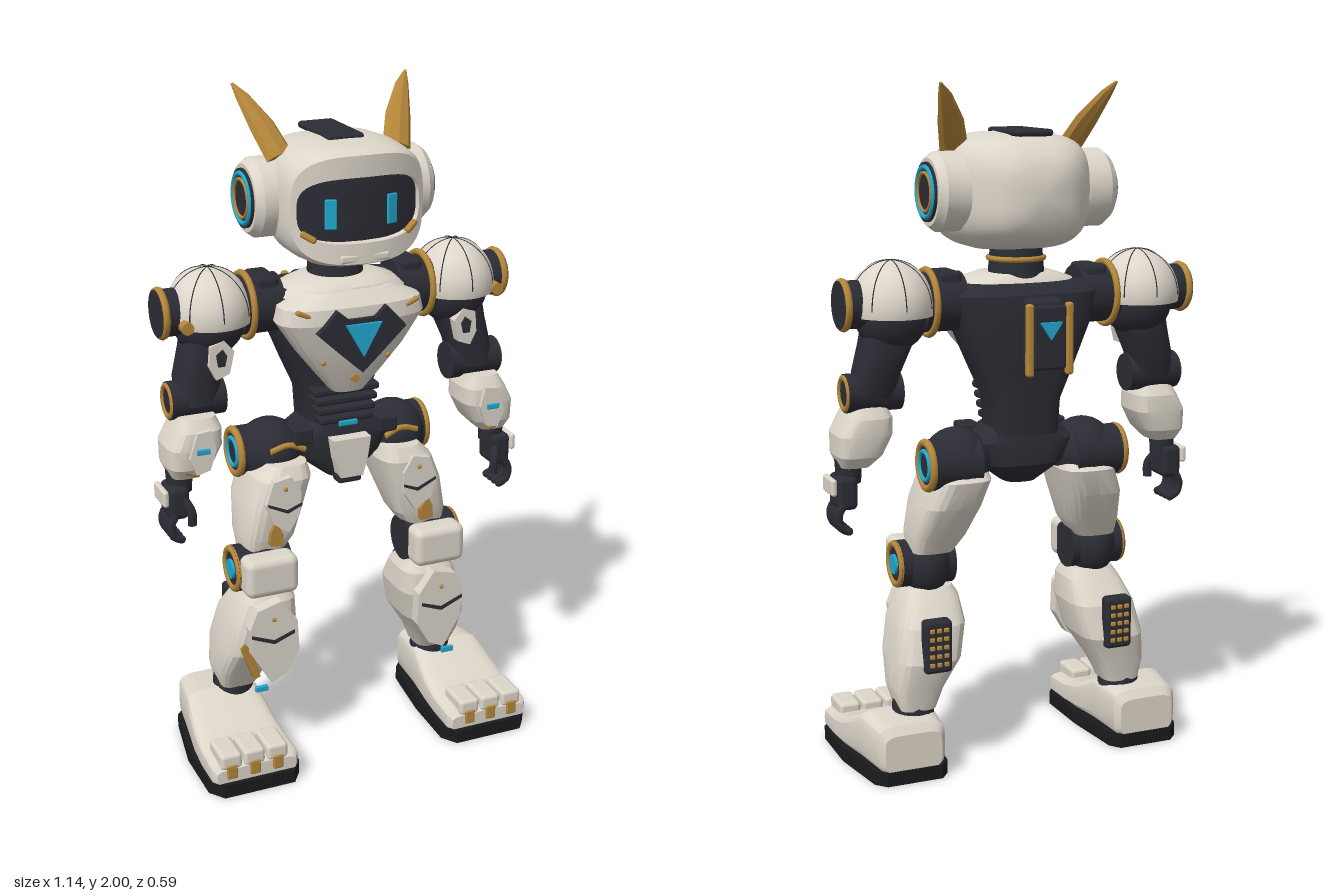
import * as THREE from 'three';
import { toCreasedNormals } from 'three/addons/utils/BufferGeometryUtils.js';
import { RoundedBoxGeometry } from 'three/addons/geometries/RoundedBoxGeometry.js';

const material = (name, color) => {
  const m = new THREE.MeshStandardMaterial({ color, side: THREE.DoubleSide });
  m.name = name;
  return m;
};

// Closed skin through superellipse rings [height, cx, cz, hx, hz]; n sets squareness
function loft(rings, { n = 3, sides = 24, capEnd = true, crease = 0.6 } = {}) {
  const pos = [], idx = [];
  for (const [y, cx, cz, hx, hz] of rings) {
    for (let i = 0; i < sides; i++) {
      const a = (i / sides) * Math.PI * 2, c = Math.cos(a), s = Math.sin(a);
      pos.push(cx + hx * Math.sign(c) * Math.abs(c) ** (2 / n), y, cz + hz * Math.sign(s) * Math.abs(s) ** (2 / n));
    }
  }
  const last = rings.length - 1, tip = pos.length / 3;
  for (const r of [rings[0], rings[last]]) pos.push(r[1], r[0], r[2]);
  for (let i = 0; i < sides; i++) {
    const j = (i + 1) % sides;
    for (let k = 0; k < last; k++) {
      const a = k * sides + i, b = k * sides + j;
      idx.push(a, a + sides, b, b, a + sides, b + sides);
    }
    idx.push(tip, i, j);
    if (capEnd) idx.push(tip + 1, last * sides + j, last * sides + i);
  }
  const g = new THREE.BufferGeometry();
  g.setAttribute('position', new THREE.Float32BufferAttribute(pos, 3));
  g.setIndex(idx);
  g.computeVertexNormals();
  return toCreasedNormals(g, crease);
}
// Limb rings given as [y, x0, x1, z0, z1]
const limb = (rows, opt) => loft(rows.map(([y, a, b, c, d]) => [y, (a + b) / 2, (c + d) / 2, (b - a) / 2, (d - c) / 2]), opt);
// Rings along z given as [z, x0, x1, y0, y1]
const loftZ = (rows, opt) => limb(rows.map(([z, a, b, c, d]) => [z, a, b, -d, -c]), opt).rotateX(Math.PI / 2);
const box = (w, h, d, x, y, z, r = 0.008) => new RoundedBoxGeometry(w, h, d, 2, Math.min(r, w / 2.1, h / 2.1, d / 2.1)).translate(x, y, z);
const cylX = (x0, x1, y, z, r0, r1 = r0) =>
  toCreasedNormals(new THREE.CylinderGeometry(r1, r0, x1 - x0, 32).rotateZ(-Math.PI / 2).translate((x0 + x1) / 2, y, z), 0.6);
const ringX = (x, y, z, r, t) => new THREE.TorusGeometry(r, t, 8, 36).rotateY(Math.PI / 2).translate(x, y, z);
const plate = (pts, z, depth) =>
  new THREE.ExtrudeGeometry(new THREE.Shape(pts.map((p) => new THREE.Vector2(...p))), { depth, bevelEnabled: false }).translate(0, 0, z);
const tube = (pts, r) => new THREE.TubeGeometry(new THREE.CatmullRomCurve3(pts.map((p) => new THREE.Vector3(...p))), 8, r, 8);

function mirrored(geo) {
  const g = geo.index ? geo.toNonIndexed() : geo.clone();
  g.scale(-1, 1, 1);
  for (const a of [g.attributes.position, g.attributes.normal])
    for (let i = 0; i < a.count; i += 3) {
      const p = [a.getX(i), a.getY(i), a.getZ(i)];
      a.setXYZ(i, a.getX(i + 1), a.getY(i + 1), a.getZ(i + 1));
      a.setXYZ(i + 1, ...p);
    }
  return g;
}

export function createModel() {
  const white = material('warm white', 0xddd6ca), dark = material('charcoal', 0x2c2c35);
  const gold = material('gold', 0xb5873a), cyan = material('cyan', 0x22a9d0), black = material('sole black', 0x1b1b1e);
  const model = new THREE.Group();
  model.name = 'robot';
  const add = (name, geo, mat) => {
    const m = new THREE.Mesh(geo, mat);
    m.name = name;
    model.add(m);
  };
  const pair = (name, geo, mat) => {
    add(name + 'Left', geo, mat);
    add(name + 'Right', mirrored(geo), mat);
  };

  // Head: shell with a curved front and a recessed visor
  const bend = (g) => {
    const p = g.attributes.position;
    for (let i = 0; i < p.count; i++) p.setZ(i, p.getZ(i) - 1.5 * p.getX(i) ** 2 * Math.max(0, p.getZ(i) / 0.19));
    g.computeVertexNormals();
    return toCreasedNormals(g, 0.7);
  };
  const face = (z, k) => [z, -0.185 * k, 0.185 * k, 1.69 - 0.092 * k, 1.69 + 0.092 * k];
  add('headShell', bend(loftZ([
    [-0.235, -0.08, 0.08, 1.62, 1.77], [-0.21, -0.125, 0.125, 1.58, 1.81], [-0.165, -0.17, 0.17, 1.555, 1.845],
    [-0.1, -0.2, 0.2, 1.535, 1.86], [0, -0.212, 0.212, 1.525, 1.865], [0.1, -0.212, 0.212, 1.525, 1.86],
    [0.165, -0.208, 0.208, 1.53, 1.853], [0.19, -0.2, 0.2, 1.54, 1.843], face(0.188, 1), face(0.16, 0.98),
  ], { n: 3.2, sides: 48, capEnd: false })), white);
  add('visor', bend(loftZ([face(0.155, 0.99), face(0.165, 0.98), face(0.167, 0.7), face(0.167, 0.4)], { n: 4, sides: 48 })), dark);
  pair('eye', box(0.034, 0.085, 0.009, 0, 0, 0, 0.004).rotateY(0.28).translate(0.092, 1.68, 0.158), cyan);
  pair('visorCorner', box(0.05, 0.018, 0.02, 0, 0, 0).rotateZ(0.5).rotateY(0.5).translate(0.155, 1.62, 0.148), gold);
  add('chinPlate', box(0.15, 0.025, 0.02, 0, 1.555, 0.178), white);
  add('crownPlate', box(0.11, 0.02, 0.23, 0, 1.864, -0.06, 0.01), dark);
  const horn = loft([[0, 0, 0, 0.042, 0.022], [0.1, 0, 0, 0.038, 0.02], [0.2, 0.008, 0, 0.02, 0.012], [0.245, 0.016, 0, 0.004, 0.004]], { n: 2, sides: 8, crease: 0.3 });
  pair('horn', horn.rotateZ(-0.3).rotateX(-0.62).translate(0.178, 1.815, 0), gold);

  // Ear pods
  pair('earPod', cylX(0.18, 0.25, 1.7, -0.037, 0.113), white);
  pair('earBevel', cylX(0.25, 0.272, 1.7, -0.037, 0.113, 0.096), white);
  pair('earDisc', cylX(0.26, 0.279, 1.7, -0.037, 0.084), dark);
  pair('earLight', ringX(0.279, 1.7, -0.037, 0.07, 0.007), cyan);
  pair('earTrim', ringX(0.281, 1.7, -0.037, 0.054, 0.005), gold);

  // Neck and collar
  add('neck', new THREE.CylinderGeometry(0.075, 0.085, 0.12, 28).translate(0, 1.485, -0.03), dark);
  add('neckRing', new THREE.TorusGeometry(0.08, 0.008, 8, 32).rotateX(Math.PI / 2).translate(0, 1.505, -0.03), gold);
  add('collar', limb([[1.42, -0.2, 0.2, -0.13, 0.11], [1.445, -0.17, 0.17, -0.12, 0.1], [1.465, -0.11, 0.11, -0.1, 0.07]], { n: 2.5 }), white);

  // Torso, chest armour and emblem
  add('torso', limb([
    [1.0, -0.1, 0.1, -0.15, 0.03], [1.1, -0.105, 0.105, -0.155, 0.03], [1.2, -0.15, 0.15, -0.16, 0.04],
    [1.32, -0.2, 0.2, -0.17, 0.06], [1.41, -0.225, 0.225, -0.16, 0.06], [1.44, -0.19, 0.19, -0.13, 0.05],
  ], { n: 4 }), dark);
  add('chestArmour', limb([
    [1.13, -0.05, 0.05, 0.01, 0.09], [1.19, -0.1, 0.1, 0, 0.115], [1.27, -0.165, 0.165, 0, 0.14],
    [1.36, -0.225, 0.225, -0.02, 0.16], [1.405, -0.215, 0.215, -0.02, 0.155], [1.44, -0.13, 0.13, -0.02, 0.12],
  ], { n: 2.8, crease: 0.35 }), white);
  add('emblemPlate', plate([[0, 1.215], [0.055, 1.265], [0.135, 1.34], [0.075, 1.405], [0.04, 1.375], [-0.04, 1.375], [-0.075, 1.405], [-0.135, 1.34], [-0.055, 1.265]], 0.11, 0.063), dark);
  add('emblemLight', plate([[0, 1.265], [0.055, 1.362], [-0.055, 1.362]], 0.173, 0.009), cyan);
  pair('chestTrim', box(0.05, 0.014, 0.02, 0, 0, 0).rotateZ(0.4).translate(0.165, 1.395, 0.135), gold);
  add('chestStud', new THREE.CylinderGeometry(0.012, 0.012, 0.02, 16).rotateX(Math.PI / 2).translate(0, 1.18, 0.112), gold);
  pair('chestBolt', new THREE.SphereGeometry(0.008, 10, 8).translate(0.1, 1.24, 0.122), gold);
  pair('shoulderBlock', box(0.07, 0.1, 0.12, 0.225, 1.43, -0.04, 0.015), dark);
  for (let i = 0; i < 4; i++) add('abdomenRib', box(0.17 + 0.012 * i, 0.022, 0.07, 0, 1.035 + 0.03 * i, 0.03), dark);

  // Back pack
  add('backPack', box(0.11, 0.205, 0.07, 0, 1.31, -0.225, 0.02), dark);
  add('packMount', box(0.06, 0.1, 0.08, 0, 1.31, -0.17), dark);
  add('packPlate', box(0.1, 0.18, 0.03, 0, 1.305, -0.265), dark);
  pair('packRail', box(0.022, 0.205, 0.024, 0.06, 1.3, -0.272), gold);
  add('packLight', plate([[0, 1.3], [0.034, 1.35], [-0.034, 1.35]], -0.289, 0.009), cyan);

  // Shoulders
  const sx = 0.385, sy = 1.385, sz = -0.04;
  pair('shoulderDome', new THREE.SphereGeometry(1, 32, 16, 0, Math.PI * 2, 0, 1.75).scale(0.123, 0.13, 0.135).translate(sx, sy, sz), white);
  for (let i = 0; i < 4; i++)
    pair('shoulderSeam', new THREE.TorusGeometry(1, 0.014, 5, 32, Math.PI).rotateY((i * Math.PI) / 4).scale(0.123, 0.13, 0.135).translate(sx, sy, sz), dark);
  pair('shoulderUnderside', new THREE.SphereGeometry(0.105, 24, 16).translate(sx, 1.36, sz), dark);
  pair('shoulderAxle', cylX(0.18, 0.3, 1.39, sz, 0.085), dark);
  pair('shoulderInnerRing', ringX(0.278, 1.39, sz, 0.092, 0.01), gold);
  pair('shoulderDisc', cylX(0.47, 0.54, 1.395, sz, 0.068), dark);
  pair('shoulderOuterRing', ringX(0.528, 1.395, sz, 0.064, 0.012), gold);
  pair('shoulderStud', new THREE.CylinderGeometry(0.018, 0.018, 0.03, 16).rotateX(Math.PI / 2).translate(0.482, 1.375, 0.055), gold);

  // Arms
  pair('upperArm', limb([[1.13, 0.38, 0.5, -0.08, 0.04], [1.2, 0.365, 0.495, -0.1, 0.04], [1.28, 0.33, 0.475, -0.11, 0.045], [1.37, 0.31, 0.46, -0.11, 0.04]]), dark);
  pair('armPatch', plate([[0.36, 1.225], [0.4, 1.21], [0.42, 1.25], [0.415, 1.31], [0.375, 1.325], [0.345, 1.29]], 0.03, 0.03), white);
  pair('armPatchSlot', plate([[0.375, 1.25], [0.395, 1.25], [0.4, 1.285], [0.38, 1.3], [0.368, 1.28]], 0.06, 0.005), dark);
  pair('elbow', cylX(0.36, 0.522, 1.14, -0.02, 0.056), dark);
  pair('elbowRing', ringX(0.52, 1.14, -0.02, 0.045, 0.009), gold);
  pair('forearm', limb([[0.925, 0.45, 0.535, -0.045, 0.06], [0.96, 0.415, 0.55, -0.075, 0.085], [1.02, 0.385, 0.55, -0.085, 0.095], [1.07, 0.385, 0.525, -0.08, 0.09], [1.105, 0.4, 0.505, -0.06, 0.07]], { n: 3.5, crease: 0.35 }), white);
  pair('forearmPanel', plate([[0.44, 0.96], [0.48, 0.95], [0.5, 1.0], [0.475, 1.075], [0.435, 1.08], [0.42, 1.02]], 0.085, 0.018), white);
  pair('forearmLight', box(0.04, 0.016, 0.009, 0.46, 1.02, 0.106, 0.003), cyan);
  pair('forearmTrim', box(0.05, 0.016, 0.02, 0, 0, 0).rotateZ(0.35).translate(0.485, 0.945, 0.068), gold);
  pair('wrist', new THREE.CylinderGeometry(0.04, 0.036, 0.07, 20).translate(0.505, 0.91, 0.01), dark);

  // Hands
  pair('palm', box(0.062, 0.1, 0.1, 0.52, 0.85, 0.012, 0.018), dark);
  pair('handGuard', box(0.018, 0.05, 0.095, 0.56, 0.87, 0.012), white);
  for (let i = 0; i < 4; i++) {
    const z = -0.027 + i * 0.027;
    pair('finger', tube([[0.53, 0.82, z], [0.548, 0.785, z], [0.54, 0.75, z], [0.518, 0.738, z]], 0.0125), dark);
    pair('fingertip', new THREE.SphereGeometry(0.0125, 10, 8).translate(0.518, 0.738, z), dark);
  }
  pair('thumb', tube([[0.505, 0.86, 0.05], [0.49, 0.825, 0.07], [0.488, 0.785, 0.068]], 0.014), dark);

  // Pelvis and hips
  add('pelvis', limb([[0.85, -0.05, 0.05, -0.09, 0.05], [0.91, -0.13, 0.13, -0.14, 0.06], [0.98, -0.17, 0.17, -0.14, 0.06], [1.02, -0.11, 0.11, -0.13, 0.05]]), dark);
  add('frontGuard', plate([[-0.035, 0.865], [0.035, 0.865], [0.05, 0.92], [0.06, 0.985], [-0.06, 0.985], [-0.05, 0.92]], 0.04, 0.06), white);
  add('guardTip', box(0.075, 0.03, 0.05, 0, 0.855, 0.06), dark);
  add('beltLight', box(0.06, 0.016, 0.009, 0, 1.025, 0.068, 0.003), cyan);
  pair('beltBlock', box(0.06, 0.05, 0.08, 0.135, 0.995, 0.02), dark);
  pair('hipJoint', new THREE.SphereGeometry(0.1, 24, 16).translate(0.2, 0.925, -0.06), dark);
  pair('hipAxle', cylX(0.15, 0.305, 0.925, -0.085, 0.075), dark);
  pair('hipRing', ringX(0.3, 0.925, -0.085, 0.066, 0.012), gold);
  pair('hipLight', ringX(0.306, 0.925, -0.085, 0.042, 0.007), cyan);
  pair('hipTrim', tube([[0.13, 0.955, 0.05], [0.18, 0.975, 0.05], [0.235, 0.96, 0.045]], 0.009), gold);

  // Thighs
  pair('thigh', limb([
    [0.65, 0.2, 0.325, -0.06, 0.075], [0.7, 0.165, 0.33, -0.085, 0.09], [0.8, 0.132, 0.315, -0.145, 0.1],
    [0.88, 0.108, 0.285, -0.165, 0.1], [0.92, 0.12, 0.245, -0.12, 0.08],
  ], { n: 3.5, crease: 0.3 }), white);
  pair('thighPanel', plate([[0.205, 0.725], [0.255, 0.76], [0.275, 0.82], [0.25, 0.89], [0.195, 0.9], [0.165, 0.85], [0.17, 0.78]], 0.085, 0.024), white);
  pair('thighNotch', plate([[0.165, 0.815], [0.21, 0.798], [0.27, 0.825], [0.27, 0.817], [0.21, 0.788], [0.165, 0.807]], 0.109, 0.004), dark);
  pair('thighStud', new THREE.SphereGeometry(0.007, 10, 8).translate(0.215, 0.865, 0.11), gold);
  pair('thighTrim', plate([[0.225, 0.685], [0.265, 0.69], [0.262, 0.73], [0.245, 0.765], [0.222, 0.72]], 0.08, 0.028), gold);

  // Knees
  pair('knee', new THREE.SphereGeometry(1, 24, 16).scale(0.075, 0.095, 0.085).translate(0.27, 0.605, 0.02), dark);
  pair('kneeAxle', cylX(0.19, 0.36, 0.605, 0.035, 0.07), dark);
  pair('kneeCap', box(0.165, 0.122, 0.085, 0.272, 0.608, 0.113, 0.025), white);
  pair('kneeRing', ringX(0.357, 0.605, 0.035, 0.06, 0.011), gold);
  pair('kneeLight', cylX(0.35, 0.368, 0.605, 0.035, 0.03), cyan);

  // Shins
  pair('shin', limb([
    [0.19, 0.275, 0.39, -0.105, 0.015], [0.25, 0.25, 0.405, -0.115, 0.05], [0.34, 0.195, 0.4, -0.135, 0.11],
    [0.44, 0.172, 0.38, -0.11, 0.13], [0.51, 0.178, 0.35, -0.06, 0.122], [0.54, 0.195, 0.33, -0.035, 0.105],
  ], { n: 3.5, crease: 0.3 }), white);
  pair('shinPanel', plate([[0.285, 0.265], [0.34, 0.36], [0.35, 0.45], [0.325, 0.51], [0.25, 0.53], [0.2, 0.46], [0.195, 0.36], [0.235, 0.29]], 0.115, 0.04), white);
  pair('shinNotch', plate([[0.21, 0.43], [0.275, 0.407], [0.345, 0.435], [0.345, 0.425], [0.275, 0.395], [0.21, 0.42]], 0.155, 0.004), dark);
  pair('shinStud', new THREE.SphereGeometry(0.007, 10, 8).translate(0.275, 0.475, 0.156), gold);
  pair('shinTrim', plate([[0.305, 0.27], [0.325, 0.265], [0.365, 0.37], [0.355, 0.39], [0.335, 0.37]], 0.085, 0.03), gold);
  pair('shinLight', box(0.04, 0.018, 0.012, 0.31, 0.24, 0.133, 0.003), cyan);
  pair('calfVent', box(0.085, 0.16, 0.045, 0.29, 0.395, -0.128, 0.012), dark);
  for (let r = 0; r < 5; r++)
    for (let c = 0; c < 3; c++) pair('ventStud', box(0.015, 0.013, 0.01, 0.268 + c * 0.022, 0.343 + r * 0.026, -0.152, 0.003), gold);

  // Feet
  pair('ankle', new THREE.CylinderGeometry(0.058, 0.066, 0.09, 24).translate(0.338, 0.185, -0.045), dark);
  pair('foot', loftZ([
    [-0.168, 0.29, 0.465, 0.035, 0.15], [-0.15, 0.275, 0.48, 0.03, 0.175], [-0.02, 0.265, 0.5, 0.03, 0.185],
    [0.09, 0.255, 0.515, 0.03, 0.13], [0.17, 0.25, 0.52, 0.03, 0.108], [0.265, 0.248, 0.52, 0.03, 0.1], [0.283, 0.26, 0.508, 0.035, 0.085],
  ], { n: 5, crease: 0.4 }), white);
  const sole = plate([[0.29, 0.172], [0.46, 0.172], [0.49, 0.14], [0.525, -0.06], [0.525, -0.25], [0.49, -0.297], [0.27, -0.297], [0.238, -0.25], [0.242, -0.06], [0.265, 0.14]].reverse(), 0, 0.042);
  pair('sole', sole.rotateX(-Math.PI / 2), black);
  for (const x of [0.318, 0.39, 0.462]) {
    pair('toe', box(0.066, 0.05, 0.112, x, 0.108, 0.229, 0.012), white);
    pair('toeNail', box(0.032, 0.045, 0.02, x, 0.077, 0.28, 0.005), gold);
  }
  return model;
}
